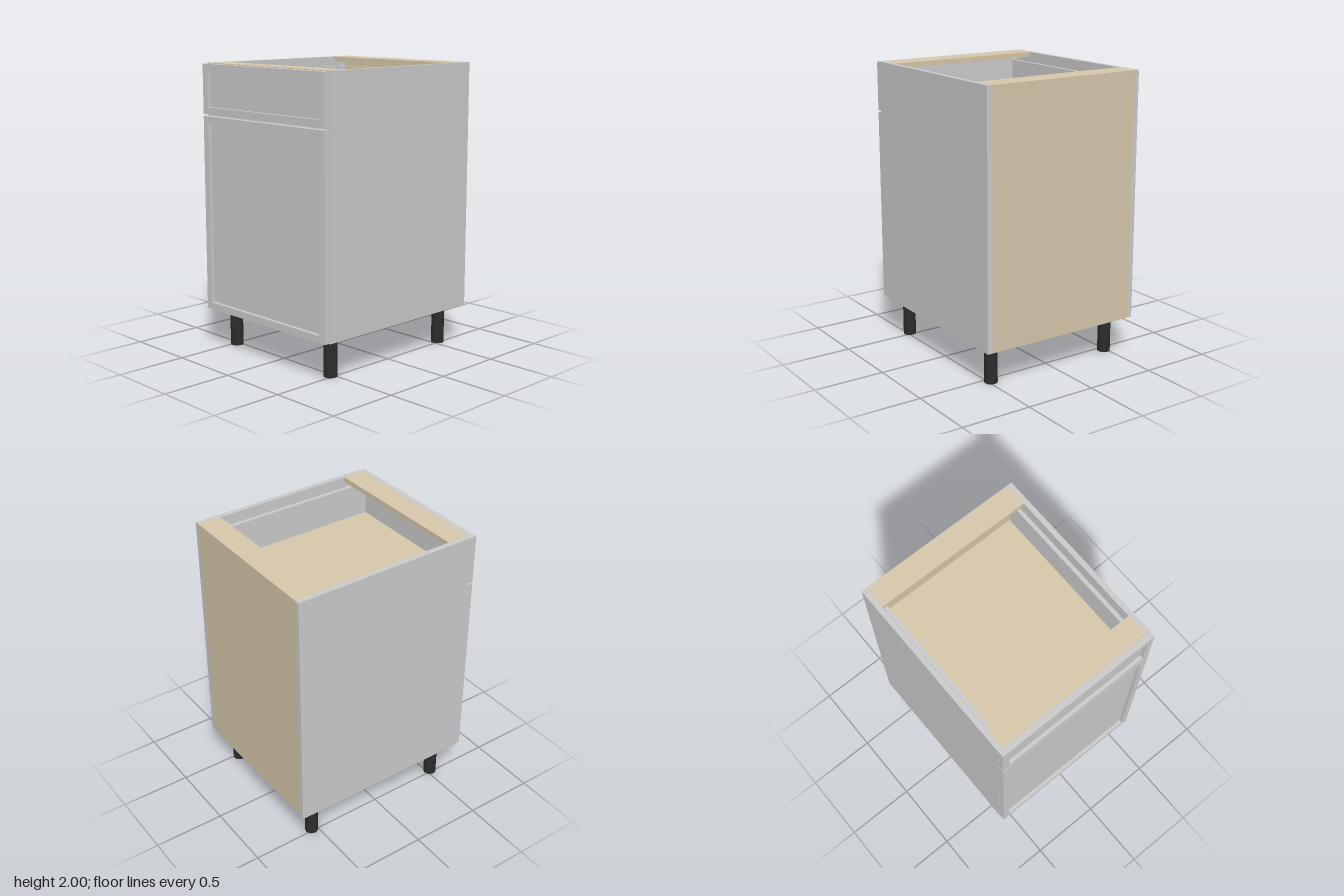
import * as THREE from 'three';

const grey = new THREE.MeshStandardMaterial({ color: 0xcccccc });
const wood = new THREE.MeshStandardMaterial({ color: 0xd6c8aa });
const black = new THREE.MeshStandardMaterial({ color: 0x2b2d2d });

export function createModel() {
  const cabinet = new THREE.Group();
  cabinet.name = 'baseCabinet';

  const add = (name, geometry, material) => {
    const mesh = new THREE.Mesh(geometry, material);
    mesh.name = name;
    cabinet.add(mesh);
    return mesh;
  };
  // Board given by its limits on each axis
  const board = (name, material, [x0, x1], [y0, y1], [z0, z1]) =>
    add(name, new THREE.BoxGeometry(x1 - x0, y1 - y0, z1 - z0), material)
      .position.set((x0 + x1) / 2, (y0 + y1) / 2, (z0 + z1) / 2);

  const T = 0.036;              // board thickness
  const IN = 0.567;             // inner half width
  const BASE = 0.27, TOP = 2;   // carcass height limits
  const BACK = -0.69, FRONT = 0.645;
  const inside = [-IN, IN];

  // Carcass
  for (const [side, s] of [['left', 1], ['right', -1]]) {
    const span = (a, b) => (s > 0 ? [a, b] : [-b, -a]);
    board(side + 'SidePanel', grey, span(IN, 0.603), [BASE, TOP], [BACK, FRONT]);
    board(side + 'DrawerSide', grey, span(0.525, 0.553), [1.68, 1.93], [-0.61, FRONT]);
  }
  board('bottomPanel', wood, inside, [BASE, BASE + T], [BACK + T, FRONT]);
  board('backPanel', wood, inside, [BASE, TOP - T], [BACK, BACK + T]);
  board('backTopRail', wood, inside, [TOP - T, TOP], [BACK, -0.523]);
  board('frontTopRail', wood, inside, [TOP - T, TOP], [0.487, FRONT]);

  // Drawer box
  board('drawerBottom', wood, [-0.525, 0.525], [1.67, 1.695], [-0.61, FRONT]);
  board('drawerBack', wood, [-0.553, 0.553], [1.67, 1.93], [-0.638, -0.61]);

  // Framed front: a rim around a recessed panel
  const framedFront = (name, y0, y1) => {
    const W = 0.6, rim = 0.05, panelFace = 0.665, face = 0.69;
    const rect = (P, x, a, b) => {
      const p = new P();
      p.moveTo(-x, a).lineTo(x, a).lineTo(x, b).lineTo(-x, b).closePath();
      return p;
    };
    const shape = rect(THREE.Shape, W, y0, y1);
    shape.holes.push(rect(THREE.Path, W - rim, y0 + rim, y1 - rim));
    const frame = new THREE.ExtrudeGeometry(shape, { depth: face - FRONT, bevelEnabled: false });
    add(name + 'Frame', frame, grey).position.z = FRONT;
    board(name + 'Panel', grey, [-W + rim, W - rim], [y0 + rim, y1 - rim], [FRONT, panelFace]);
  };
  framedFront('drawerFront', 1.651, 1.995);
  framedFront('door', 0.275, 1.638);

  // Legs
  const legGeometry = new THREE.CylinderGeometry(0.045, 0.045, BASE, 32);
  for (const x of [-0.482, 0.482])
    for (const z of [0.525, -0.543])
      add('leg', legGeometry, black).position.set(x, BASE / 2, z);

  return cabinet;
}
